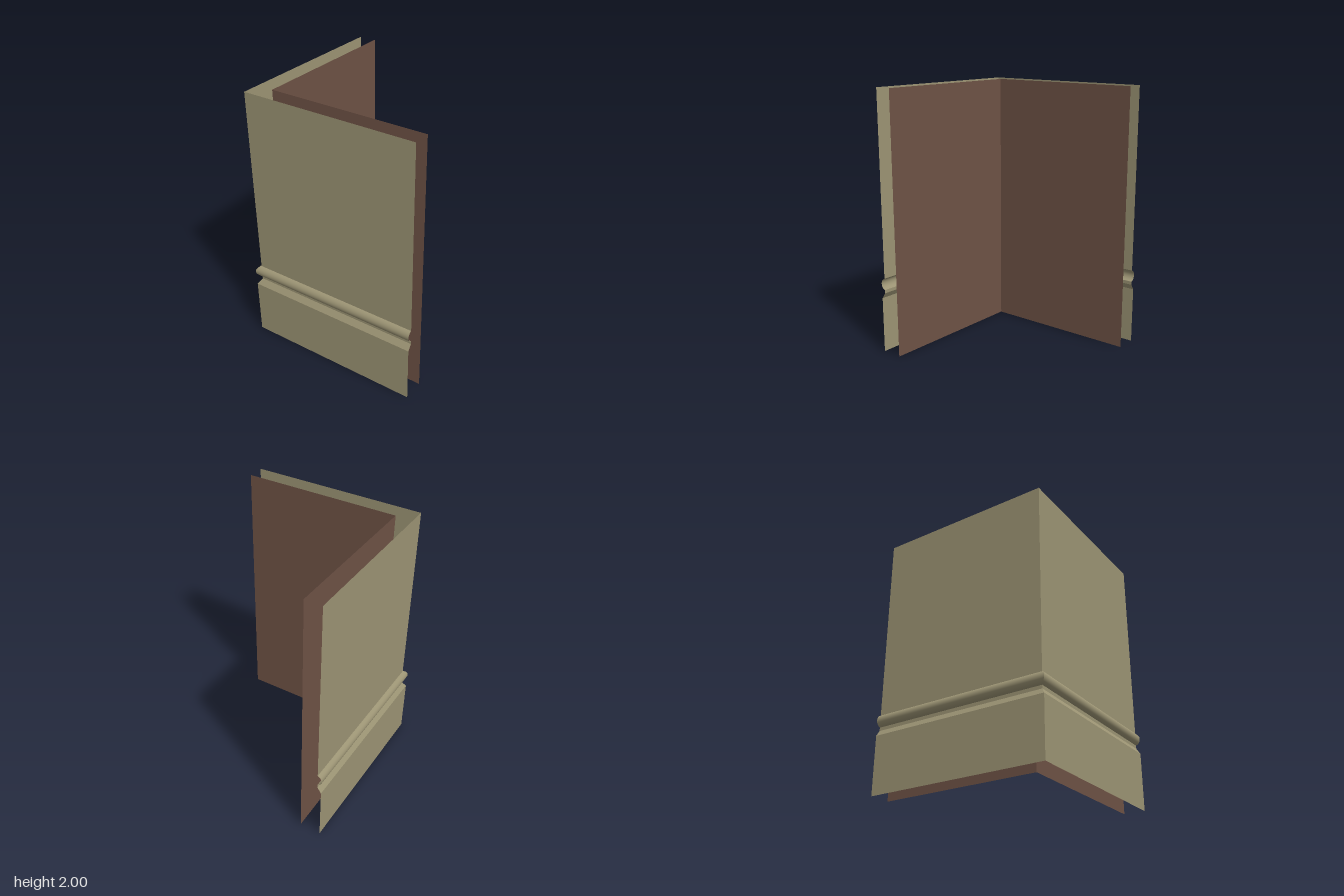
import * as THREE from 'three';

const END = 0.683;   // free end of both wings
const FACE = 0.65;   // outer wall face, measured from the centre
const INNER = 0.52;  // inner wall face

const plaster = new THREE.MeshStandardMaterial({ color: 0x9c9474, side: THREE.DoubleSide });
plaster.name = 'plaster';
const brownWall = new THREE.MeshStandardMaterial({ color: 0x6e5245, side: THREE.DoubleSide });
brownWall.name = 'brownWall';

// Sweeps a profile of [distance, height] along one wing, mitred at the corner.
// Side wing is the front wing mirrored across the corner diagonal.
function wing(profile, sideWing, facesIn) {
  const pos = [], index = [];
  for (const [d, y] of profile) {
    for (const x of [-d, END]) {
      if (sideWing) pos.push(-d, y, -x);
      else pos.push(x, y, d);
    }
  }
  for (let i = 0; i < profile.length - 1; i++) {
    const a = i * 2, b = a + 1, c = a + 3, e = a + 2;
    if (sideWing !== facesIn) index.push(a, c, b, a, e, c);
    else index.push(a, b, c, a, c, e);
  }
  const geo = new THREE.BufferGeometry();
  geo.setAttribute('position', new THREE.Float32BufferAttribute(pos, 3));
  geo.setIndex(index);
  geo.computeVertexNormals();
  return geo;
}

// Rounded bead: circular arc between y 0.50 and 0.59, standing out 0.033
function beadProfile() {
  const half = 0.045, depth = 0.033, steps = 14;
  const r = (half * half + depth * depth) / (2 * depth);
  const sweep = Math.acos((r - depth) / r);
  return Array.from({ length: steps + 1 }, (_, i) => {
    const t = -sweep + (2 * sweep * i) / steps;
    return [FACE + depth - r + r * Math.cos(t), 0.545 + r * Math.sin(t)];
  });
}

export function createModel() {
  const model = new THREE.Group();
  model.name = 'wallCorner';

  // Each part has its own profile, so edges between parts stay sharp
  const parts = [
    ['skirting', [[0.68, 0], [0.68, 0.43]], plaster, false],
    ['skirtingChamfer', [[0.68, 0.43], [FACE, 0.475]], plaster, false],
    ['grooveBand', [[FACE, 0.475], [FACE, 0.5]], plaster, false],
    ['bead', beadProfile(), plaster, false],
    ['upperWall', [[FACE, 0.59], [FACE, 2]], plaster, false],
    ['innerWall', [[INNER, 0], [INNER, 2]], brownWall, true],
  ];

  for (const sideWing of [false, true]) {
    const group = new THREE.Group();
    group.name = sideWing ? 'sideWing' : 'frontWing';
    for (const [name, profile, material, facesIn] of parts) {
      const mesh = new THREE.Mesh(wing(profile, sideWing, facesIn), material);
      mesh.name = name;
      group.add(mesh);
    }
    model.add(group);
  }
  return model;
}
